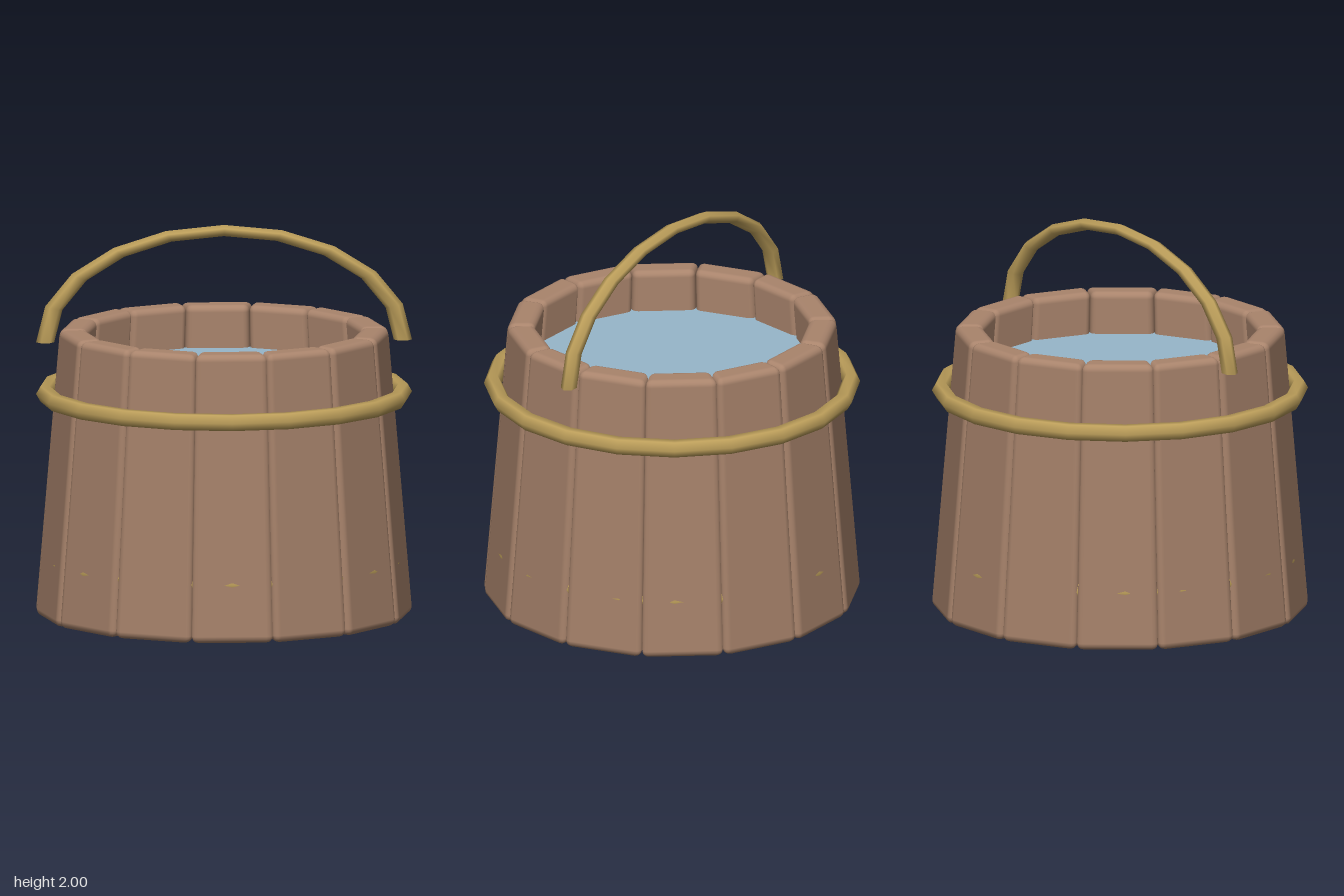
import * as THREE from 'three';
import { RoundedBoxGeometry } from 'three/addons/geometries/RoundedBoxGeometry.js';

const STAVES = 14;
const RING = 0.905, TUBE = 0.046;

function material(name, color) {
  const m = new THREE.MeshStandardMaterial({ color });
  m.name = name;
  return m;
}

// One rounded plank, narrowed and leaned inwards towards the top
function staveGeometry() {
  const bottom = 0.01, top = 1.47, depth = 0.14, width = 0.4;
  const g = new RoundedBoxGeometry(width, top - bottom, depth, 2, 0.036);
  g.translate(0, (top + bottom) / 2, 0);
  const p = g.attributes.position;
  for (let i = 0; i < p.count; i++) {
    const y = p.getY(i);
    const radius = 0.866 - 0.0825 * y + p.getZ(i);
    const halfWidth = radius * Math.tan(Math.PI / STAVES) * 0.997;
    p.setXYZ(i, (p.getX(i) / (width / 2)) * halfWidth, y, radius);
  }
  return g;
}

export function createModel() {
  const wood = material('wood', 0xa9846c);
  const brass = material('brass', 0xbc9e5a);
  const floorWood = material('red floor wood', 0x7f4d42);
  const waterBlue = material('water blue', 0x97b6ca);

  const model = new THREE.Group();
  model.name = 'bucket';
  const add = (name, geometry, mat, parent = model) => {
    const mesh = new THREE.Mesh(geometry, mat);
    mesh.name = name;
    parent.add(mesh);
    return mesh;
  };

  // Wall of staves
  const wall = new THREE.Group();
  wall.name = 'wall';
  model.add(wall);
  const plank = staveGeometry();
  for (let i = 0; i < STAVES; i++) {
    add('stave', plank, wood, wall).rotation.y = (i / STAVES) * Math.PI * 2;
  }

  // Floor, with a sloping edge that tucks into the staves
  add('floor', new THREE.CylinderGeometry(0.86, 0.75, 0.06, STAVES), floorWood).position.y = 0.03;

  // Water surface
  const water = add('water', new THREE.CircleGeometry(0.75, 28), waterBlue);
  water.rotation.x = -Math.PI / 2;
  water.position.y = 1.25;

  // Hoops: the upper stands proud, the lower is sunk into the staves
  for (const [name, radius, y] of [['upperHoop', RING, 1.14], ['lowerHoop', 0.871, 0.305]]) {
    const hoop = add(name, new THREE.TorusGeometry(radius, TUBE, 6, 20), brass);
    hoop.rotation.x = -Math.PI / 2;
    hoop.position.y = y;
  }

  // Flattened half-ring handle with closed ends
  const handle = new THREE.Group();
  handle.name = 'handle';
  handle.position.y = 1.405;
  handle.scale.set(1, 0.625, 0.84);
  model.add(handle);
  add('handleBow', new THREE.TorusGeometry(RING, TUBE, 6, 10, Math.PI), brass, handle);
  for (const side of [-1, 1]) {
    const cap = add('handleEnd', new THREE.CircleGeometry(TUBE, 6), brass, handle);
    cap.rotation.x = Math.PI / 2;
    cap.position.x = side * RING;
  }

  return model;
}
